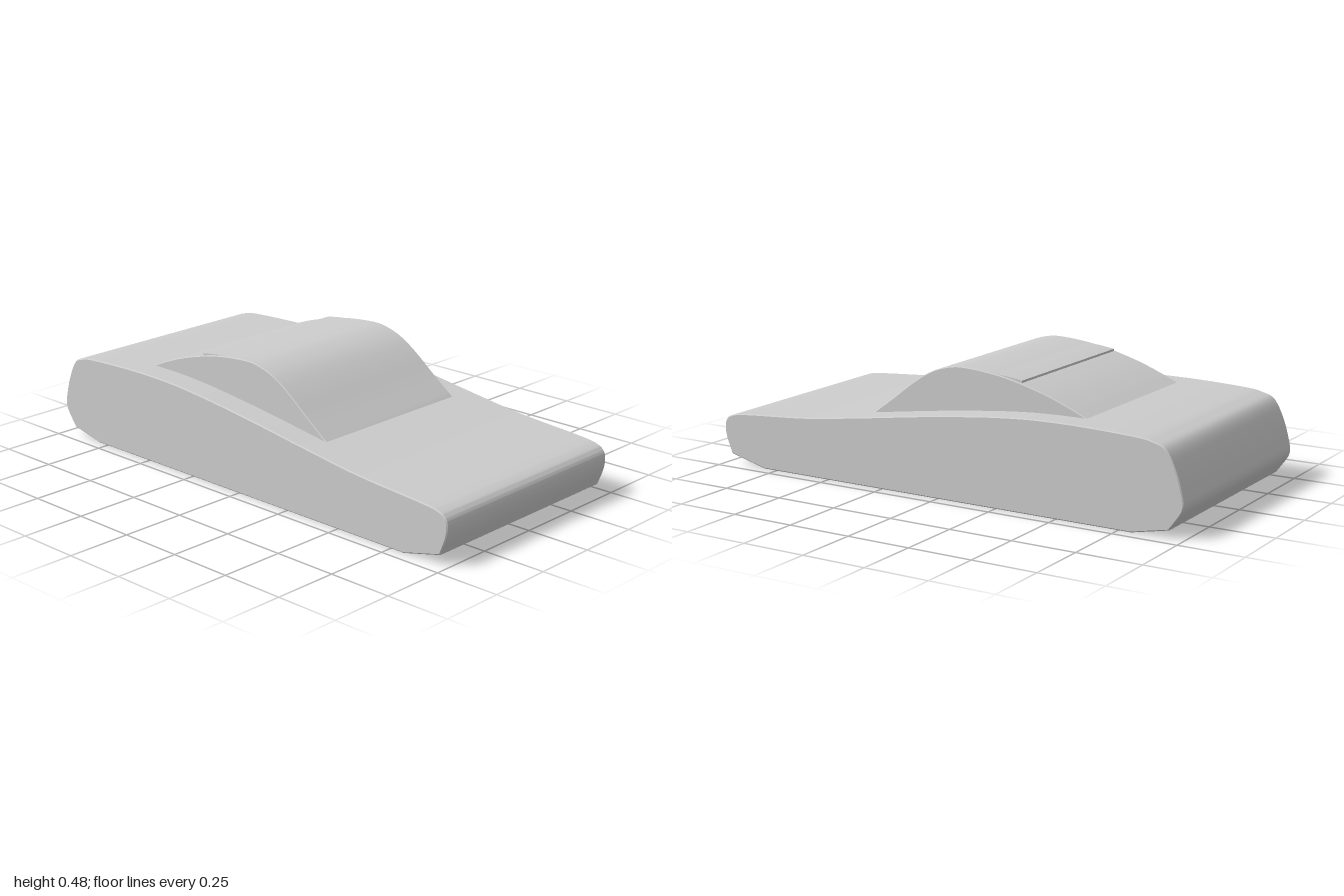
import * as THREE from 'three';
import { toCreasedNormals } from 'three/addons/utils/BufferGeometryUtils.js';

const grey = new THREE.MeshStandardMaterial({ color: 0xcccccc });
grey.name = 'plain grey';

// Extrudes a side outline, given as [z, y], across the width.
// "curve" is splined, "base" joins its ends with straight edges.
function sidePart(name, curve, base, halfWidth, bevel) {
  const pts = curve.map(([z, y]) => new THREE.Vector2(z, y));
  const shape = new THREE.Shape();
  shape.moveTo(pts[0].x, pts[0].y);
  shape.splineThru(pts.slice(1));
  base.forEach(([z, y]) => shape.lineTo(z, y));
  const depth = 2 * (halfWidth - bevel);
  const geometry = new THREE.ExtrudeGeometry(shape, {
    depth, curveSegments: 5, bevelEnabled: bevel > 0,
    bevelSize: bevel, bevelOffset: -bevel, bevelThickness: bevel, bevelSegments: 1,
  });
  geometry.translate(0, 0, -depth / 2);
  geometry.rotateY(-Math.PI / 2);
  const mesh = new THREE.Mesh(toCreasedNormals(geometry, 0.55), grey);
  mesh.name = name;
  return mesh;
}

export function createModel() {
  const group = new THREE.Group();
  group.name = 'wedgeCar';

  // Body: nose, bonnet, rear deck and tail, closed by a flat floor
  group.add(sidePart('body', [
    [0.97, 0.04], [0.993, 0.1], [1, 0.145], [0.992, 0.175], [0.965, 0.195], [0.89, 0.208],
    [0.6, 0.23], [0.355, 0.262], [0, 0.312], [-0.31, 0.345], [-0.55, 0.352],
    [-0.8, 0.344], [-0.88, 0.333], [-0.93, 0.31], [-0.97, 0.235], [-0.995, 0.15],
    [-0.998, 0.115], [-0.985, 0.085], [-0.945, 0.03],
  ], [[-0.8, 0], [0.81, 0]], 0.455, 0.004));

  // Cabin: windscreen, roof and sloping rear window
  group.add(sidePart('cabin', [
    [0.358, 0.258], [0.26, 0.33], [0.16, 0.406], [0.08, 0.453], [0, 0.477],
    [-0.07, 0.48], [-0.18, 0.47], [-0.28, 0.451], [-0.4, 0.418], [-0.5, 0.381], [-0.57, 0.35],
  ], [[-0.55, 0.33], [0.3, 0.24]], 0.354, 0.003));

  // Thin lip where the roof meets the rear window
  group.add(sidePart('roofLip', [
    [-0.18, 0.47], [-0.24, 0.464], [-0.295, 0.456],
  ], [[-0.295, 0.443], [-0.18, 0.46]], 0.345, 0));

  return group;
}
